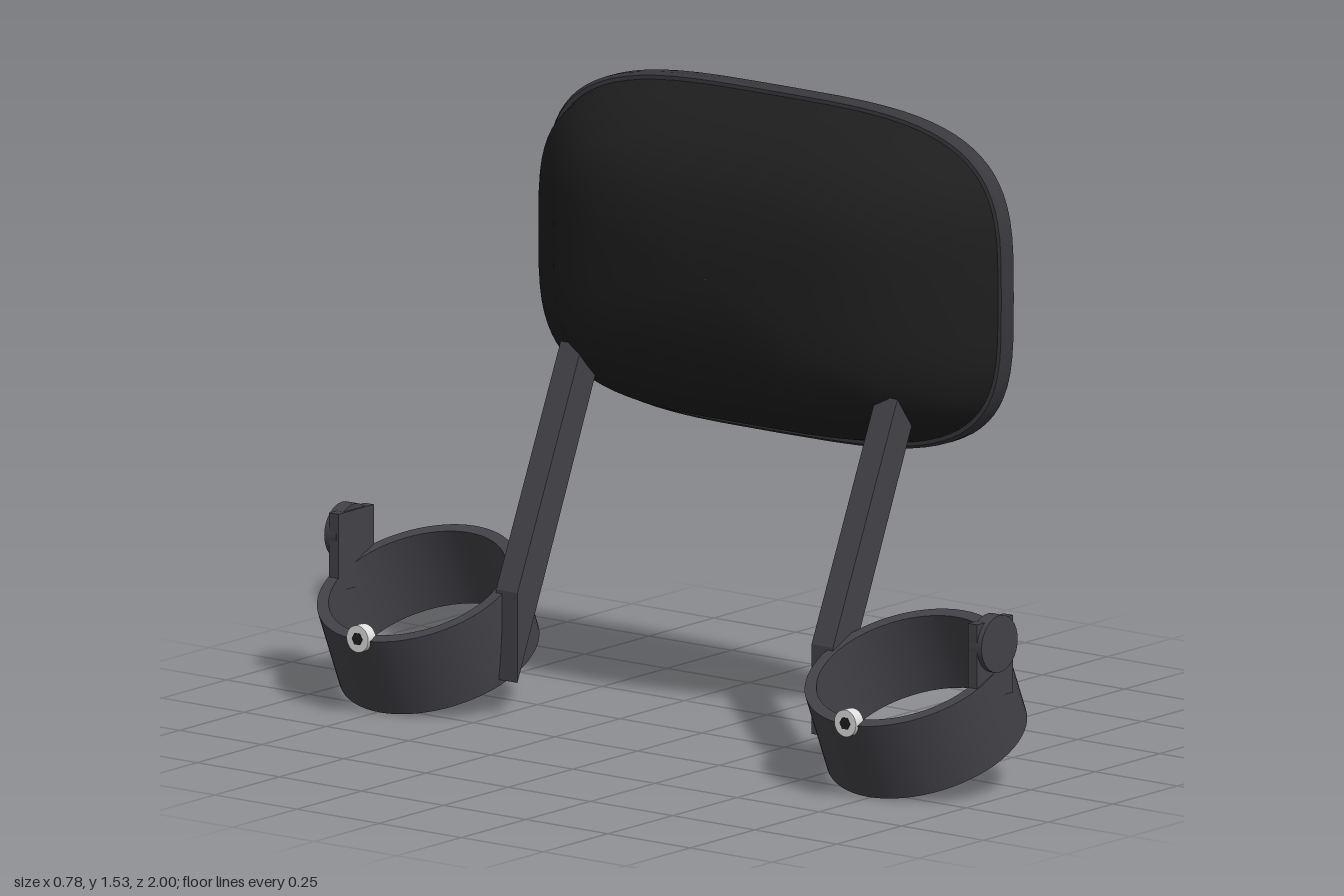
import * as THREE from 'three';
import { toCreasedNormals } from 'three/addons/utils/BufferGeometryUtils.js';

const material = (name, color, side = THREE.FrontSide) => {
  const m = new THREE.MeshStandardMaterial({ color, side });
  m.name = name;
  return m;
};

// Skins rounded-rectangle sections [x, halfWidth (z), halfHeight (y)] along x
function loft(sections, n = 80, power = 3.6) {
  const pos = [], index = [];
  const bend = v => Math.sign(v) * Math.pow(Math.abs(v), 2 / power);
  for (const [x, hz, hy] of sections) {
    for (let i = 0; i < n; i++) {
      const t = (i / n) * Math.PI * 2;
      pos.push(x, hy * bend(Math.sin(t)), hz * bend(Math.cos(t)));
    }
  }
  for (let r = 0; r < sections.length - 1; r++) {
    for (let i = 0; i < n; i++) {
      const j = (i + 1) % n;
      const a = r * n + i, b = r * n + j, c = a + n, d = b + n;
      index.push(a, c, b, b, c, d);
    }
  }
  const g = new THREE.BufferGeometry();
  g.setAttribute('position', new THREE.Float32BufferAttribute(pos, 3));
  g.setIndex(index);
  return toCreasedNormals(g, 0.65);
}

export function createModel() {
  const model = new THREE.Group();
  model.name = 'clampOnMirror';
  const black = material('housing black', 0x1e1e1e);
  const rimGrey = material('rim grey', 0x38383d);
  const grey = material('bracket grey', 0x434248);
  const silver = material('mirror silver', 0xd0d0d0);
  const steel = material('screw steel', 0xdedede);

  const add = (parent, name, geometry, mat, x = 0, y = 0, z = 0) => {
    const mesh = new THREE.Mesh(geometry, mat);
    mesh.name = name;
    mesh.position.set(x, y, z);
    parent.add(mesh);
    return mesh;
  };

  // Mirror head, facing +x
  const head = new THREE.Group();
  head.name = 'mirrorHead';
  head.position.y = 1.113;
  model.add(head);
  add(head, 'housing', loft([
    [0.015, 0.001, 0.001], [0.015, 0.34, 0.205], [0.085, 0.52, 0.315],
    [0.2, 0.655, 0.39], [0.29, 0.69, 0.41],
  ]), black);
  add(head, 'rim', loft([
    [0.274, 0.655, 0.385], [0.276, 0.694, 0.416], [0.288, 0.702, 0.423],
    [0.314, 0.702, 0.423], [0.325, 0.69, 0.415], [0.33, 0.655, 0.395],
    [0.326, 0.62, 0.375], [0.31, 0.605, 0.362],
  ]), rimGrey);
  add(head, 'mirrorGlass', loft([
    [0.322, 0.618, 0.373], [0.335, 0.585, 0.35], [0.355, 0.49, 0.285],
    [0.371, 0.365, 0.21], [0.382, 0.22, 0.125], [0.386, 0.1, 0.06], [0.387, 0.001, 0.001],
  ]), silver);

  // Slanted arm, cut vertically where it meets the clamp
  const armShape = new THREE.Shape([
    [-0.145, 0.09], [0.16, 0.8], [0.105, 0.875], [-0.145, 0.31],
  ].map(p => new THREE.Vector2(...p)));
  const armGeo = new THREE.ExtrudeGeometry(armShape, { depth: 0.065, bevelEnabled: false });
  armGeo.translate(0, 0, -0.0325);

  // Rectangular band section turned into a clamp ring
  const ringGeo = toCreasedNormals(new THREE.LatheGeometry([
    [0.248, -0.105], [0.248, 0.105], [0.219, 0.105], [0.219, -0.105], [0.248, -0.105],
  ].map(p => new THREE.Vector2(...p)), 64), 0.6);

  const tabGeo = new THREE.BoxGeometry(0.138, 0.19, 0.028);
  const knobGeo = new THREE.CylinderGeometry(0.07, 0.07, 0.036, 32).rotateX(Math.PI / 2);
  const screwGeo = new THREE.CylinderGeometry(0.033, 0.033, 0.03, 24).rotateZ(Math.PI / 2);
  const socketGeo = new THREE.CylinderGeometry(0.016, 0.016, 0.004, 6).rotateZ(Math.PI / 2);

  for (const [side, s] of [['left', 1], ['right', -1]]) {
    const bracket = new THREE.Group();
    bracket.name = side + 'Bracket';
    model.add(bracket);
    add(bracket, 'arm', armGeo, grey, 0, 0, s * 0.48);
    add(bracket, 'clampRing', ringGeo, grey, -0.116, 0.2, s * 0.742).rotation.z = 0.415;
    add(bracket, 'clampTab', tabGeo, grey, -0.12, 0.345, s * 0.972);
    add(bracket, 'clampKnob', knobGeo, grey, -0.12, 0.383, s * 0.982);
    add(bracket, 'screwHead', screwGeo, steel, -0.375, 0.2, s * 0.742);
    add(bracket, 'screwSocket', socketGeo, black, -0.39, 0.2, s * 0.742);
  }
  return model;
}
